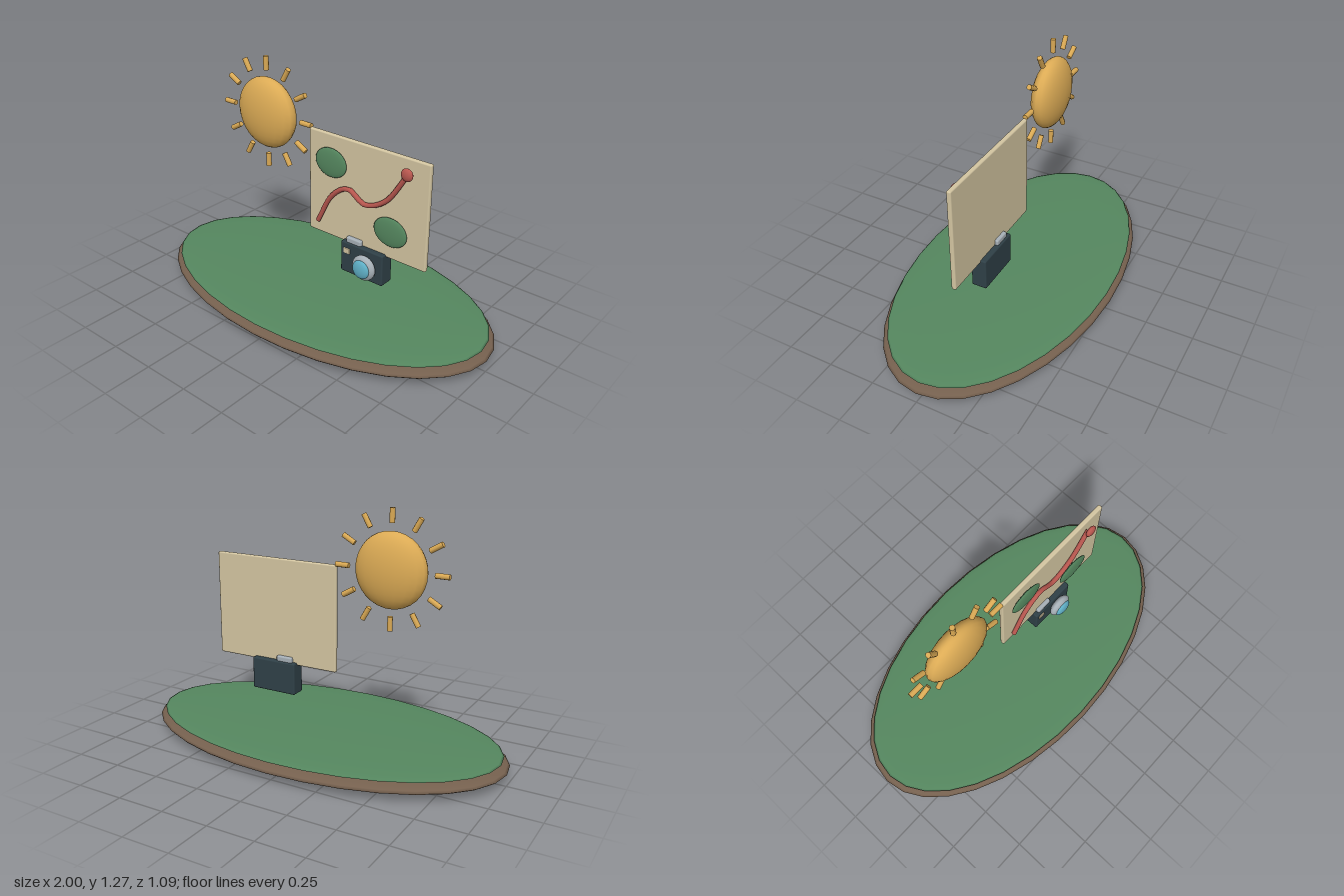
import * as THREE from 'three';
import { RoundedBoxGeometry } from 'three/addons/geometries/RoundedBoxGeometry.js';

const material = (color) => new THREE.MeshStandardMaterial({ color });
const mats = {
  earth: material(0x75604e), grass: material(0x55875f), sun: material(0xdcab55),
  paper: material(0xd3c5a1), red: material(0xb9574f), body: material(0x2f4047),
  metal: material(0xa6afb6), glass: material(0x5fafc6),
};

export function createModel() {
  const model = new THREE.Group();
  model.name = 'travelScene';

  const add = (parent, name, geometry, mat, x, y, z) => {
    const mesh = new THREE.Mesh(geometry, mat);
    mesh.name = name;
    mesh.position.set(x, y, z);
    parent.add(mesh);
    return mesh;
  };
  const group = (name) => {
    const g = new THREE.Group();
    g.name = name;
    model.add(g);
    return g;
  };
  // Squashed sphere with half sizes rx, ry, rz
  const ellipsoid = (rx, ry, rz, w = 24, h = 16) =>
    new THREE.SphereGeometry(1, w, h).scale(rx, ry, rz);

  // Ground: earth disc with a grass layer on top
  const ground = group('ground');
  add(ground, 'earth', ellipsoid(1, 0.058, 0.545, 32, 20), mats.earth, 0, 0.06, 0);
  add(ground, 'grass', ellipsoid(0.97, 0.022, 0.525, 32, 20), mats.grass, 0, 0.103, 0);

  // Sun with a ring of twelve rays
  const sun = group('sun');
  sun.position.set(-0.375, 0.975, 0);
  add(sun, 'sunDisc', ellipsoid(0.19, 0.19, 0.077, 20, 16), mats.sun, 0, 0, 0);
  const rayGeometry = new THREE.CylinderGeometry(0.014, 0.014, 0.072, 8);
  for (let i = 0; i < 12; i++) {
    const a = (i / 12) * Math.PI * 2;
    const ray = add(sun, 'sunRay', rayGeometry, mats.sun, Math.sin(a) * 0.264, Math.cos(a) * 0.264, 0);
    ray.rotation.z = -a;
  }

  // Map board with two land patches and a route
  const map = group('map');
  add(map, 'mapBoard', new RoundedBoxGeometry(0.72, 0.56, 0.025, 2, 0.008), mats.paper, 0.28, 0.69, 0);
  for (const [x, y] of [[0.072, 0.827], [0.44, 0.565]]) {
    add(map, 'landPatch', ellipsoid(0.098, 0.078, 0.014, 20, 14), mats.grass, x, y, 0.026);
  }
  const route = new THREE.CatmullRomCurve3([
    [-0.012, 0.48], [0.08, 0.65], [0.18, 0.715], [0.28, 0.663], [0.4, 0.715], [0.53, 0.9],
  ].map(([x, y]) => new THREE.Vector3(x, y, 0.025)));
  add(map, 'route', new THREE.TubeGeometry(route, 24, 0.013, 8), mats.red, 0, 0, 0);
  add(map, 'routeStart', new THREE.CircleGeometry(0.013, 8), mats.red, -0.012, 0.48, 0.025)
    .lookAt(-0.1, 0.32, 0.025);
  add(map, 'routeEnd', ellipsoid(0.033, 0.033, 0.016, 14, 10), mats.red, 0.53, 0.9, 0.039);

  // Camera below the map
  const camera = group('camera');
  add(camera, 'cameraBody', new RoundedBoxGeometry(0.26, 0.172, 0.082, 2, 0.008), mats.body, 0.281, 0.338, 0);
  add(camera, 'cameraTop', new RoundedBoxGeometry(0.092, 0.036, 0.064, 2, 0.008), mats.metal, 0.222, 0.433, 0.001);
  add(camera, 'viewfinder', new RoundedBoxGeometry(0.04, 0.03, 0.014, 2, 0.004), mats.paper, 0.19, 0.378, 0.039);
  add(camera, 'lensRing', ellipsoid(0.068, 0.068, 0.031), mats.metal, 0.315, 0.336, 0.064);
  add(camera, 'lensGlass', ellipsoid(0.05, 0.05, 0.018), mats.glass, 0.315, 0.336, 0.088);

  return model;
}
